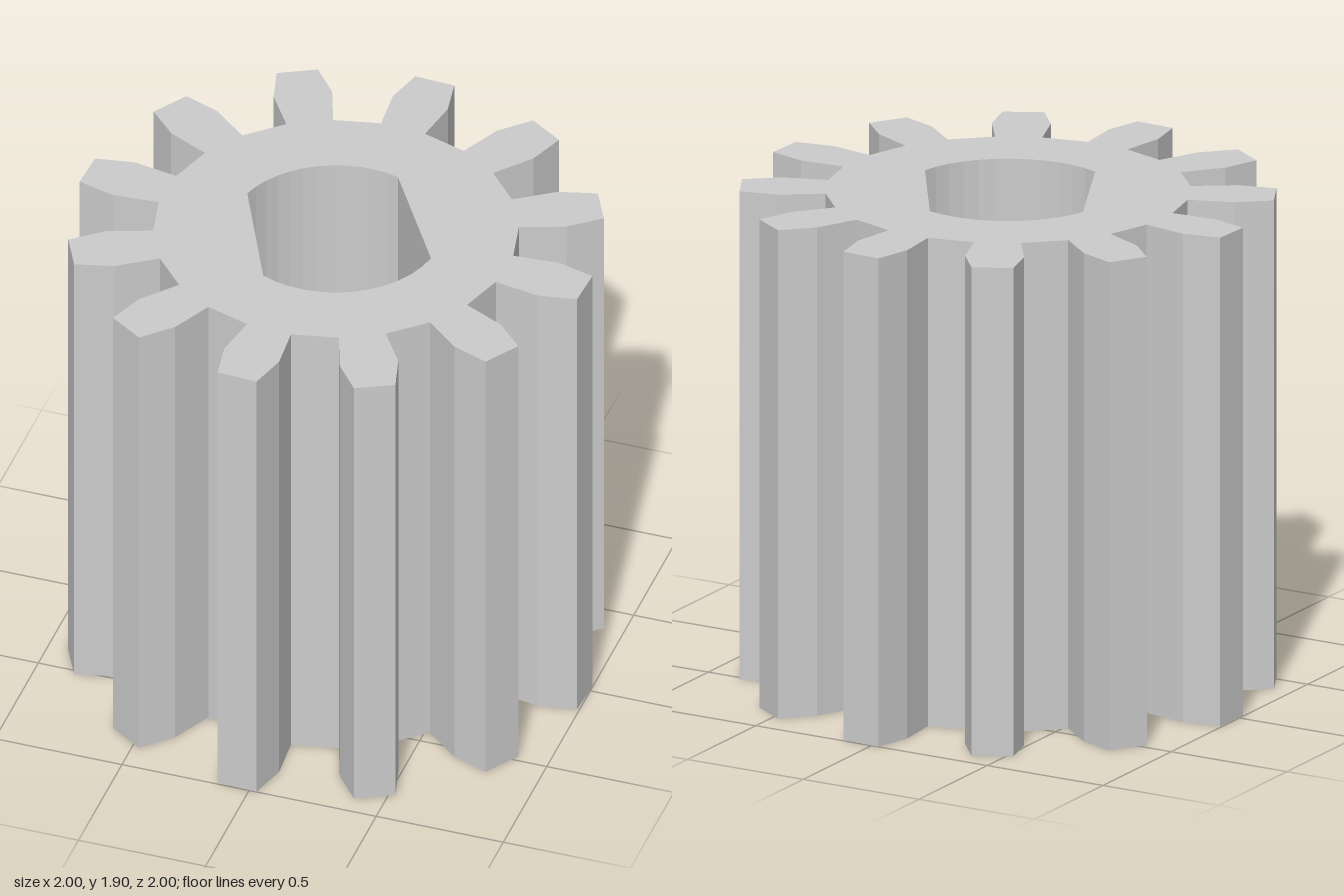
import * as THREE from 'three';

const HEIGHT = 1.9;
const TEETH = 12;
const PHASE = THREE.MathUtils.degToRad(-2.8);

// Half tooth profile: [distance along the tooth axis, half width]
const TOOTH = [[0.675, 0.088], [0.85, 0.11], [0.996, 0.078]];

// Outline of all teeth, joined by straight root segments
function gearShape() {
  const side = TOOTH.map(([r, w]) => new THREE.Vector2(r, -w));
  const mirrored = TOOTH.map(([r, w]) => new THREE.Vector2(r, w)).reverse();
  const profile = [...side, ...mirrored];
  const origin = new THREE.Vector2();
  const points = [];
  for (let i = 0; i < TEETH; i++) {
    const angle = PHASE + (i / TEETH) * Math.PI * 2;
    points.push(...profile.map((p) => p.clone().rotateAround(origin, angle)));
  }
  return new THREE.Shape(points);
}

// Shaft bore: two arcs joined by two parallel flats
function boreHole() {
  const radius = 0.398, steps = 12;
  const points = [];
  for (const [from, to] of [[-8.5, -114], [-195, -286.5]]) {
    for (let i = 0; i <= steps; i++) {
      const a = THREE.MathUtils.degToRad(from + ((to - from) * i) / steps);
      points.push(new THREE.Vector2(radius * Math.cos(a), radius * Math.sin(a)));
    }
  }
  return new THREE.Path(points);
}

export function createModel() {
  const group = new THREE.Group();
  group.name = 'pinionGear';

  const shape = gearShape();
  shape.holes.push(boreHole());

  // Extrude upward, standing on y = 0
  const geometry = new THREE.ExtrudeGeometry(shape, { depth: HEIGHT, bevelEnabled: false });
  geometry.rotateX(-Math.PI / 2);

  const gear = new THREE.Mesh(
    geometry,
    new THREE.MeshStandardMaterial({ color: 0xcccccc, flatShading: true })
  );
  gear.name = 'toothedBody';
  group.add(gear);
  return group;
}
